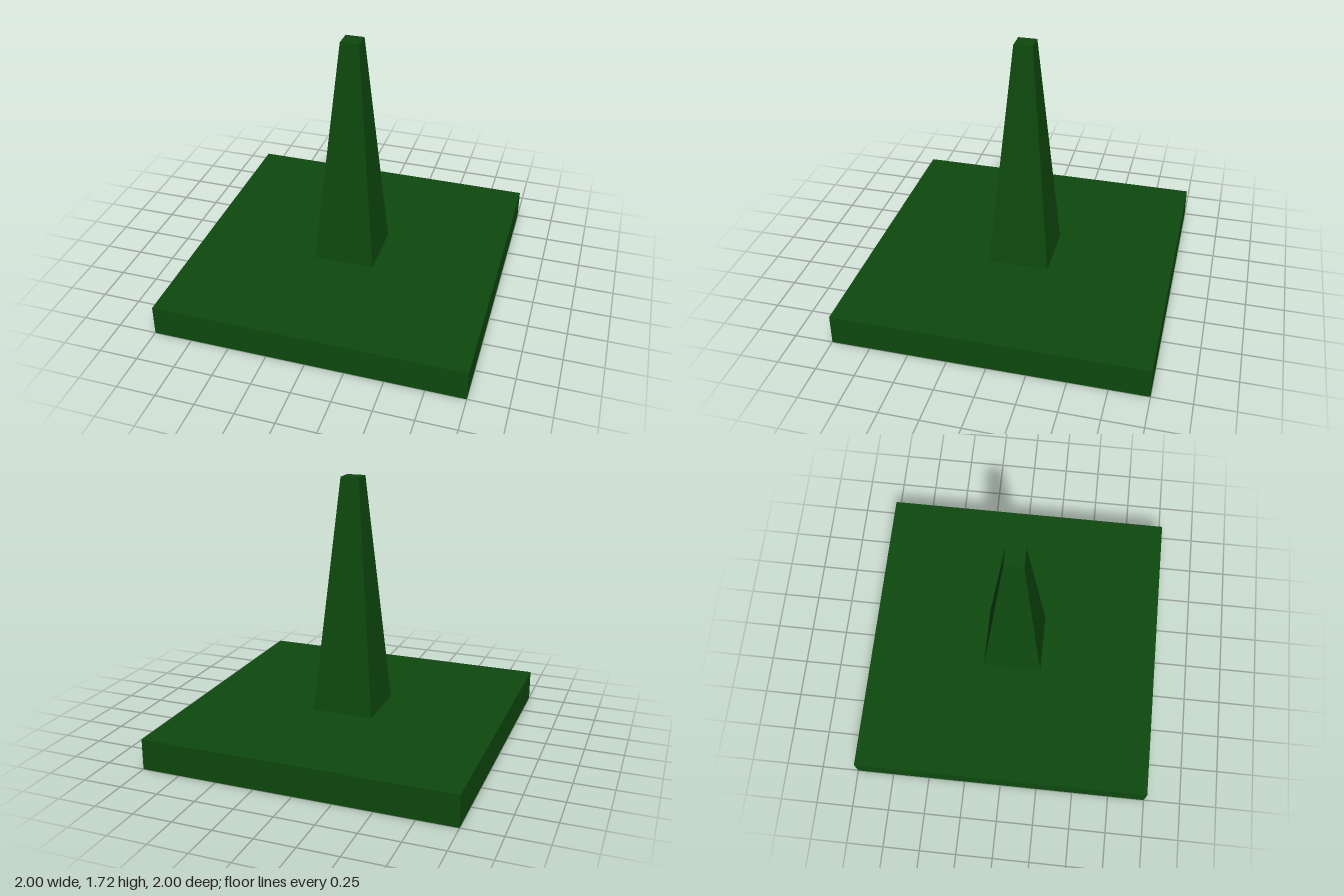
import * as THREE from 'three';

export function createModel() {
  const model = new THREE.Group();
  const green = new THREE.MeshStandardMaterial({ color: 0x0e490e });
  green.name = 'dark green';

  // Square slab
  const base = new THREE.Mesh(new THREE.BoxGeometry(2, 0.2, 2), green);
  base.name = 'base';
  base.position.y = 0.1;
  model.add(base);

  // Tapered square post: a box whose upper corners are drawn inwards
  const bottomY = 0.2, topY = 1.72, bottomHalf = 0.2, topHalf = 0.06;
  const height = topY - bottomY;
  const box = new THREE.BoxGeometry(2 * bottomHalf, height, 2 * bottomHalf);
  const pos = box.attributes.position;
  for (let i = 0; i < pos.count; i++) {
    if (pos.getY(i) > 0) {
      pos.setX(i, Math.sign(pos.getX(i)) * topHalf);
      pos.setZ(i, Math.sign(pos.getZ(i)) * topHalf);
    }
  }
  box.computeVertexNormals();
  const post = new THREE.Mesh(box, green);
  post.name = 'taperedPost';
  post.position.y = bottomY + height / 2;
  model.add(post);

  return model;
}
